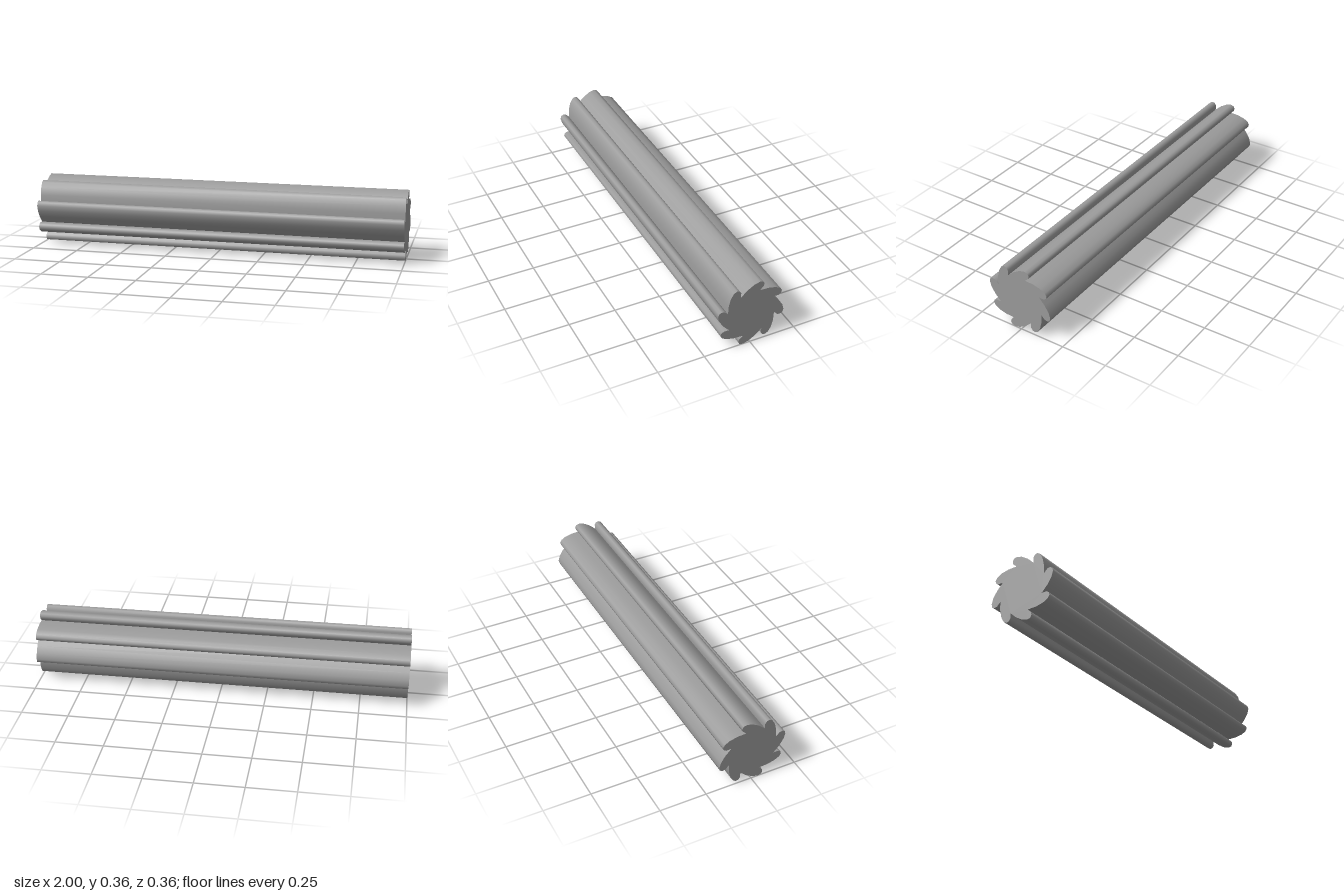
import * as THREE from 'three';
import { toCreasedNormals } from 'three/addons/utils/BufferGeometryUtils.js';

const TEETH = 8;
const LENGTH = 2;
const CENTRE_Y = 0.183;

// One swept tooth, from its notch over the rounded tip (axis at the origin)
const TOOTH = [
  [-0.0625, 0.1196], [-0.027, 0.152], [0.009, 0.174], [0.039, 0.182],
  [0.057, 0.177], [0.064, 0.164], [0.061, 0.148],
];

export function createModel() {
  const group = new THREE.Group();
  group.name = 'flutedRod';

  // Repeat the tooth clockwise around the axis
  const points = [];
  for (let i = 0; i < TEETH; i++) {
    const angle = (-i * Math.PI * 2) / TEETH;
    for (const [x, y] of TOOTH) {
      points.push(new THREE.Vector2(x, y).rotateAround(new THREE.Vector2(), angle));
    }
  }

  // Extrude the section and lay it along x; rounded flanks, sharp notches and ends
  const extruded = new THREE.ExtrudeGeometry(new THREE.Shape(points), {
    depth: LENGTH, bevelEnabled: false,
  });
  extruded.translate(0, 0, -LENGTH / 2);
  extruded.rotateY(Math.PI / 2);
  const geometry = toCreasedNormals(extruded, 1.0);

  // Dark grey shaft
  const rod = new THREE.Mesh(geometry, new THREE.MeshStandardMaterial({ color: 0x9b9b9b }));
  rod.name = 'toothedShaft';
  rod.position.y = CENTRE_Y;
  group.add(rod);
  return group;
}
